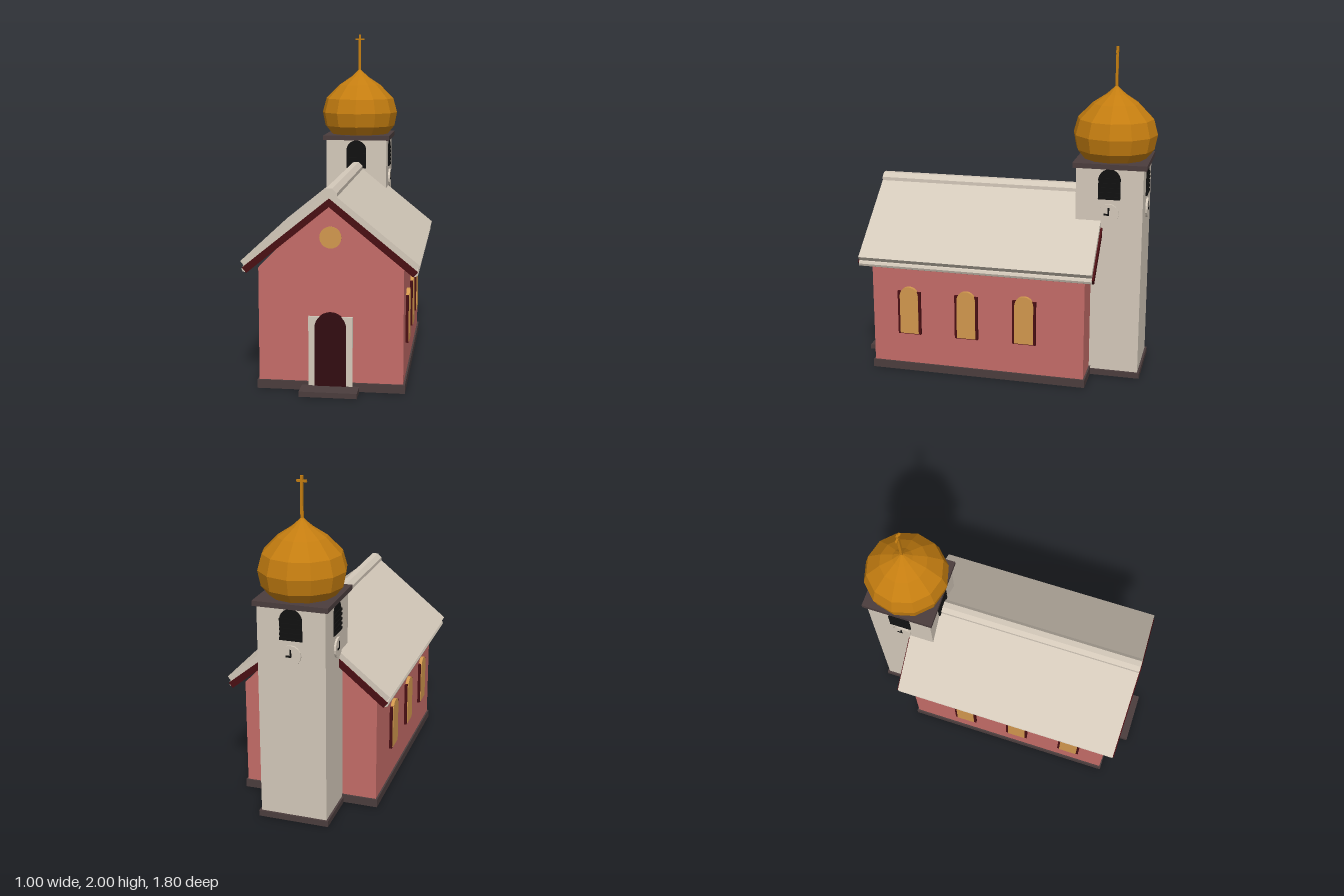
import * as THREE from 'three';

const flat = (name, color) => {
  const m = new THREE.MeshStandardMaterial({ color, flatShading: true });
  m.name = name;
  return m;
};

export function createModel() {
  const cream = flat('cream', 0xd4c9ba);
  const pink = flat('pink plaster', 0xc46c68);
  const stone = flat('dark stone', 0x4b3d3d);
  const maroon = flat('maroon trim', 0x4a0f13);
  const doorRed = flat('door', 0x320c11);
  const amber = flat('amber glass', 0xd2984e);
  const gold = flat('gold', 0xc47d10);
  const black = flat('black', 0x111111);

  const model = new THREE.Group();
  model.name = 'church';

  const add = (name, geo, mat, x = 0, y = 0, z = 0, parent = model) => {
    const mesh = new THREE.Mesh(geo, mat);
    mesh.name = name;
    mesh.position.set(x, y, z);
    parent.add(mesh);
    return mesh;
  };
  const box = (w, h, d) => new THREE.BoxGeometry(w, h, d);
  const extrude = (shape, depth) =>
    new THREE.ExtrudeGeometry(shape, { depth, bevelEnabled: false, curveSegments: 8 });
  // Symmetric shape from its right-hand outline
  const polygon = (pts) => new THREE.Shape(pts.map(([x, y]) => new THREE.Vector2(x, y)));
  const chevron = (top, ex, ey, ix, iy, under) =>
    polygon([[0, top], [-ex, ey], [-ix, iy], [0, under], [ix, iy], [ex, ey]]);
  // Round-headed opening standing on y0
  const arch = (r, y0, top) => {
    const s = new THREE.Shape();
    s.moveTo(-r, y0);
    s.lineTo(r, y0);
    s.lineTo(r, top - r);
    s.absarc(0, top - r, r, 0, Math.PI, false);
    s.closePath();
    return s;
  };

  // Nave walls and plinth
  const walls = polygon([[-0.41, 0.02], [0.41, 0.02], [0.41, 0.7], [0, 1.06], [-0.41, 0.7]]);
  add('naveWalls', extrude(walls, 1.32), pink, 0, 0, -0.55);
  add('navePlinth', box(0.84, 0.05, 1.34), stone, 0, 0.025, 0.11);

  // Roof with ridge cap, eave rails and bargeboards
  add('roof', extrude(chevron(1.15, 0.5, 0.745, 0.478, 0.718, 1.105), 1.428), cream, 0, 0, -0.603);
  const ridge = new THREE.CylinderGeometry(0.047, 0.047, 1.428, 8).rotateY(Math.PI / 8).rotateX(Math.PI / 2);
  add('ridgeCap', ridge, cream, 0, 1.118, 0.111);
  for (const side of [-1, 1]) {
    const rail = new THREE.CylinderGeometry(0.02, 0.02, 1.428, 8).rotateX(Math.PI / 2);
    add('eaveRail', rail, cream, side * 0.473, 0.702, 0.111);
  }
  const board = extrude(chevron(1.107, 0.49, 0.71, 0.465, 0.68, 1.06), 0.012);
  add('frontBargeboard', board, maroon, 0, 0, 0.82);
  add('backBargeboard', board, maroon, 0, 0, -0.614);

  // Entrance: step, surround, door and round gable window
  add('step', box(0.326, 0.03, 0.16), stone, 0, 0.015, 0.82);
  add('doorSurround', box(0.25, 0.4, 0.02), cream, 0, 0.23, 0.775);
  add('door', extrude(arch(0.09, 0.03, 0.455), 0.025), doorRed, 0, 0, 0.765);
  const disc = new THREE.CylinderGeometry(0.062, 0.062, 0.01, 20).rotateX(Math.PI / 2);
  add('gableWindow', disc, amber, 0, 0.88, 0.77);

  // Three arched windows on each side
  for (const side of [-1, 1]) {
    for (const z of [0.534, 0.172, -0.188]) {
      const win = new THREE.Group();
      win.name = 'sideWindow';
      win.position.set(side * 0.41, 0, z);
      win.rotation.y = side * Math.PI / 2;
      add('windowFrame', box(0.145, 0.275, 0.032), maroon, 0, 0.3825, 0, win);
      add('windowGlass', extrude(arch(0.058, 0.25, 0.55), 0.02), amber, 0, 0, 0, win);
      model.add(win);
    }
  }

  // Bell tower
  const tower = new THREE.Group();
  tower.name = 'tower';
  tower.position.z = -0.65;
  model.add(tower);
  add('towerPlinth', box(0.425, 0.035, 0.425), stone, 0, 0.0175, 0, tower);
  add('towerWalls', box(0.4, 1.29, 0.4), cream, 0, 0.665, 0, tower);
  add('towerCornice', box(0.44, 0.03, 0.44), stone, 0, 1.322, 0, tower);

  // Belfry openings with louvres on four faces, clocks on the three clear of the roof
  for (let i = 0; i < 4; i++) {
    const face = new THREE.Group();
    face.name = 'towerFace';
    face.rotation.y = i * Math.PI / 2;
    tower.add(face);
    add('belfryOpening', extrude(arch(0.066, 1.12, 1.305), 0.006), black, 0, 0, 0.198, face);
    for (let k = 0; k < 5; k++) {
      add('louvre', box(0.132, 0.014, 0.012), black, 0, 1.13 + k * 0.028, 0.204, face);
    }
    if (i === 0) continue;
    const dial = new THREE.CylinderGeometry(0.06, 0.06, 0.016, 16).rotateX(Math.PI / 2);
    add('clockDial', dial, cream, 0, 1.035, 0.204, face);
    add('minuteHand', box(0.009, 0.045, 0.004), black, 0, 1.05, 0.213, face);
    add('hourHand', box(0.032, 0.011, 0.004), black, -0.012, 1.031, 0.213, face);
  }

  // Onion dome and cross
  const profile = [[0, 1.335], [0.19, 1.335], [0.236, 1.392], [0.254, 1.482], [0.228, 1.575],
    [0.14, 1.665], [0.06, 1.718], [0.022, 1.752], [0, 1.775]].map(([r, y]) => new THREE.Vector2(r, y));
  add('onionDome', new THREE.LatheGeometry(profile, 12), gold, 0, 0, 0, tower);
  add('crossPost', box(0.015, 0.24, 0.015), gold, 0, 1.88, 0, tower);
  add('crossBar', box(0.06, 0.012, 0.012), gold, 0, 1.97, 0, tower);

  return model;
}
